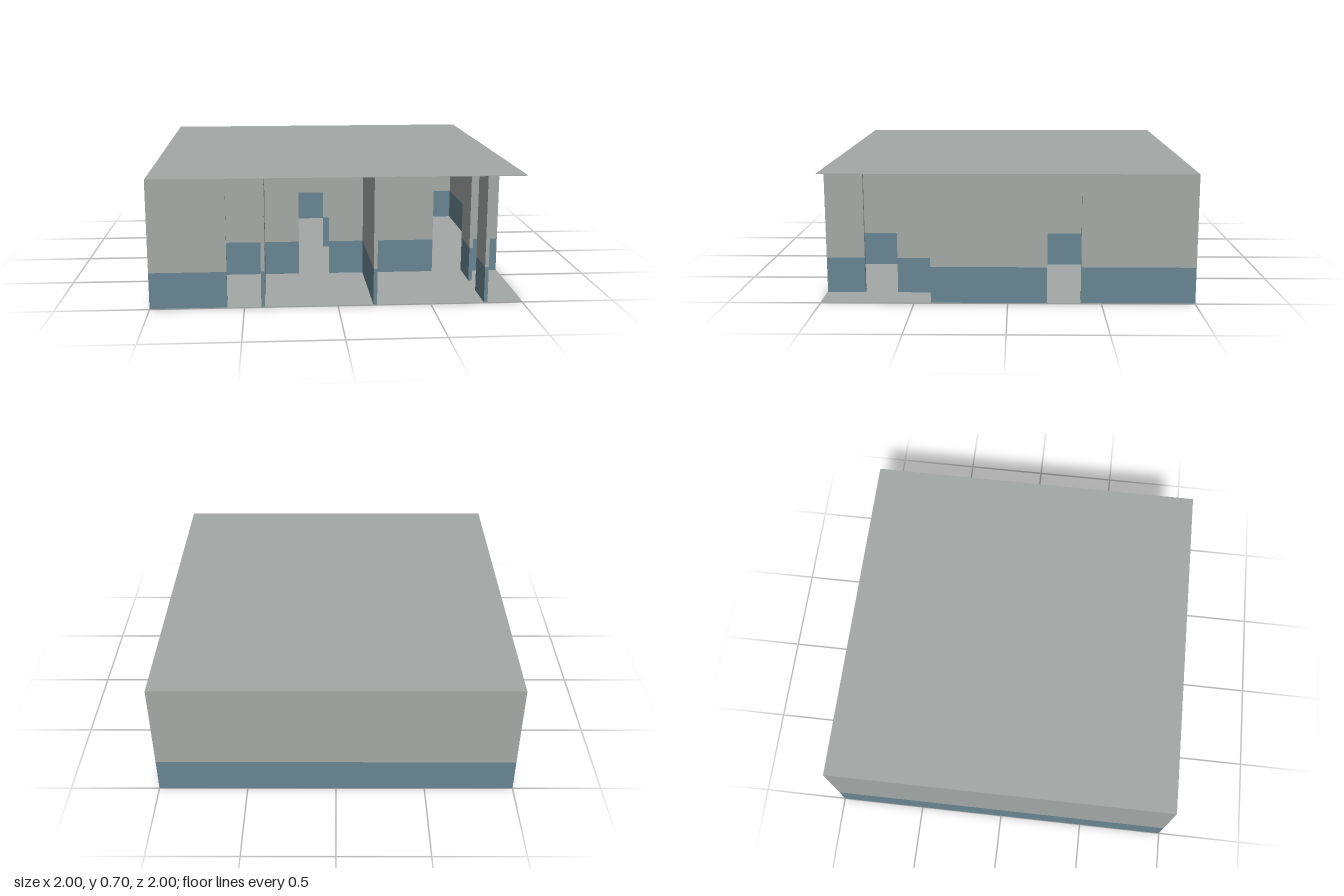
import * as THREE from 'three';

const HEIGHT = 0.7, DADO = 0.2, SLAB = 0.003, HALF = 0.01;

export function createModel() {
  const model = new THREE.Group();
  model.name = 'building';
  const grey = new THREE.MeshStandardMaterial({ name: 'plaster grey', color: 0xa3a9a6 });
  const blue = new THREE.MeshStandardMaterial({ name: 'dado blue', color: 0x678592 });

  function box(parent, name, material, x0, x1, y0, y1, z0, z1) {
    const mesh = new THREE.Mesh(new THREE.BoxGeometry(x1 - x0, y1 - y0, z1 - z0), material);
    mesh.position.set((x0 + x1) / 2, (y0 + y1) / 2, (z0 + z1) / 2);
    mesh.name = name;
    parent.add(mesh);
  }

  // Walls stay inside the footprint; outer walls keep only their inner half.
  const clamp = (v) => Math.max(-1, Math.min(1, v));

  // One wall along an axis at a fixed position, given as solid runs between doorways.
  function wall(name, axis, at, runs) {
    const group = new THREE.Group();
    group.name = name;
    const a = clamp(at - HALF), b = clamp(at + HALF);
    for (const [from, to] of runs) {
      const s = clamp(from - HALF), e = clamp(to + HALF);
      const [x0, x1, z0, z1] = axis === 'x' ? [s, e, a, b] : [a, b, s, e];
      box(group, 'dado', blue, x0, x1, SLAB, DADO, z0, z1);
      box(group, 'upperWall', grey, x0, x1, DADO, HEIGHT - SLAB, z0, z1);
    }
    model.add(group);
  }

  // Floor and flat roof
  box(model, 'floor', grey, -1, 1, 0, SLAB, -1, 1);
  box(model, 'roof', grey, -1, 1, HEIGHT - SLAB, HEIGHT, -1, 1);

  // Outer walls: the front bays and front left corner are open
  wall('backWall', 'x', -1, [[-1, 1]]);
  wall('rightOuterWall', 'z', -1, [[-1, 1]]);
  wall('leftOuterWall', 'z', 1, [[-1, -0.4], [-0.2, 0.4]]);
  wall('frontWall', 'x', 1, [[-1, -0.6], [-0.4, -0.4]]);

  // Partitions running side to side
  wall('frontPartition', 'x', 0.4, [[-1, -0.2], [0, 0.6], [0.8, 1]]);
  wall('middlePartition', 'x', -0.2, [[-1, -0.2], [0, 0.2]]);

  // Partitions running front to back
  wall('rightPartition', 'z', -0.4, [[-1, -0.6], [-0.4, 0], [0.2, 0.8]]);
  wall('centrePartition', 'z', 0.2, [[-1, 1]]);
  wall('porchPartition', 'z', 0.8, [[0.4, 0.6], [0.8, 1]]);

  return model;
}
